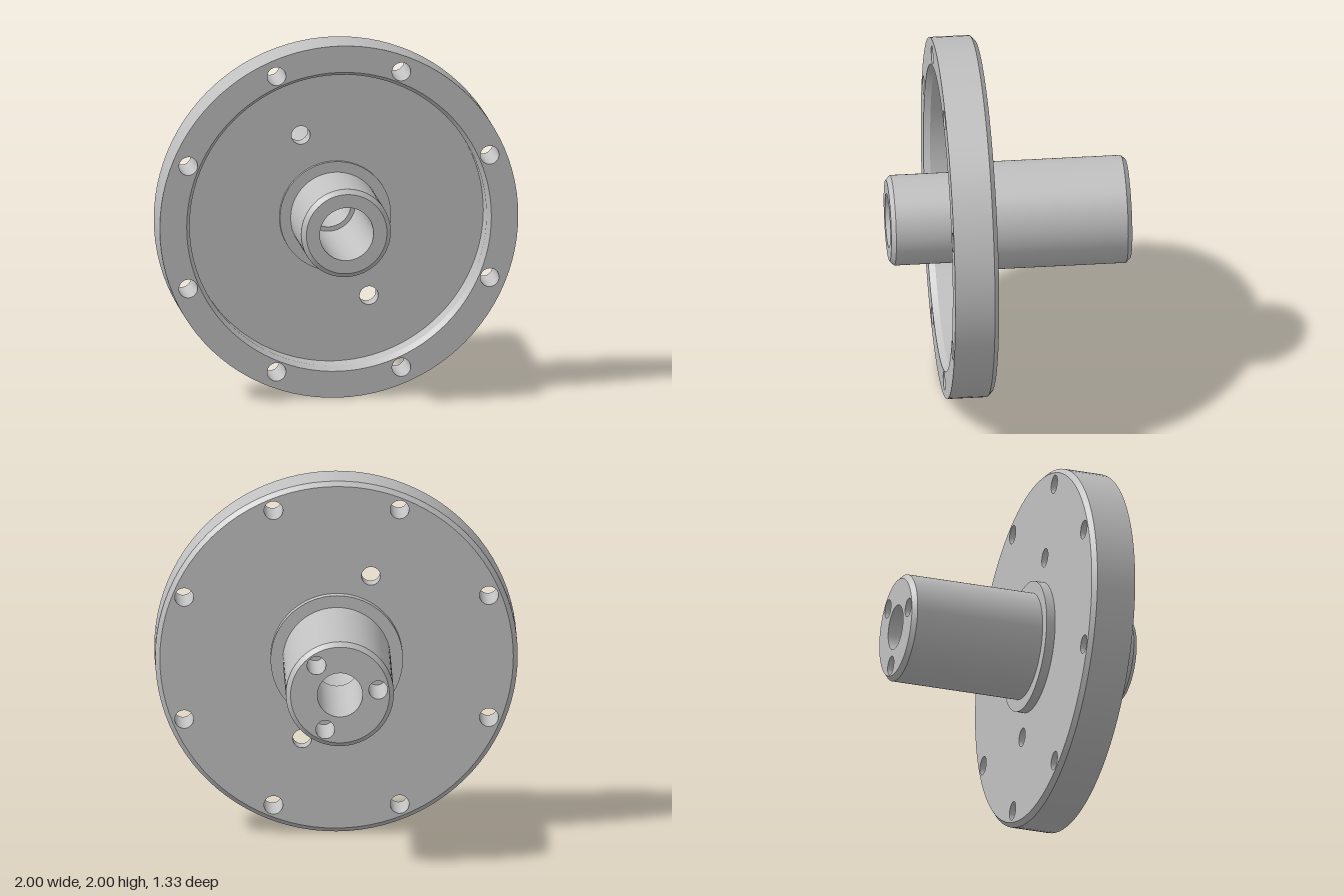
import * as THREE from 'three';
import { mergeGeometries } from 'three/addons/utils/BufferGeometryUtils.js';

const SEGMENTS = 96;

// Turn a surface to face the other way
function flip(geo) {
  geo.index.array.reverse();
  const n = geo.attributes.normal;
  for (let i = 0; i < n.array.length; i++) n.array[i] *= -1;
  return geo;
}

// Open round wall along z, from radius r0 at z0 (rear) to r1 at z1 (front)
function wall(r0, z0, r1, z1, x = 0, y = 0) {
  return new THREE.CylinderGeometry(r1, r0, z1 - z0, SEGMENTS, 1, true)
    .rotateX(Math.PI / 2)
    .translate(x, y, (z0 + z1) / 2);
}
const bore = (...args) => flip(wall(...args));

// Flat front-facing ring with holes [x, y, r]
function face(outer, inner, z, holes = []) {
  const shape = new THREE.Shape().absarc(0, 0, outer, 0, Math.PI * 2);
  const cuts = inner > 0 ? [[0, 0, inner], ...holes] : holes;
  for (const [x, y, r] of cuts) {
    shape.holes.push(new THREE.Path().absarc(x, y, r, 0, Math.PI * 2, true));
  }
  return new THREE.ShapeGeometry(shape, SEGMENTS / 2).translate(0, 0, z);
}
const rearFace = (...args) => flip(face(...args));

// Holes evenly spaced on a circle
function holeCircle(count, radius, startDegrees, holeRadius) {
  return Array.from({ length: count }, (_, i) => {
    const a = THREE.MathUtils.degToRad(startDegrees + (i * 360) / count);
    return [radius * Math.cos(a), radius * Math.sin(a), holeRadius];
  });
}

export function createModel() {
  const metal = new THREE.MeshStandardMaterial({ color: 0xc0c0c0 });
  metal.name = 'grey metal';

  const model = new THREE.Group();
  const body = new THREE.Group();
  body.name = 'flangedHub';
  body.position.y = 1;
  model.add(body);

  function part(name, geometries) {
    const mesh = new THREE.Mesh(mergeGeometries(geometries), metal);
    mesh.name = name;
    body.add(mesh);
  }

  // Stations along the axis
  const front = 0.385, floor = 0.235, back = 0.14, end = 0.665;

  const rimHoles = holeCircle(8, 0.91, 22.5, 0.052);
  const floorHoles = [[-0.19, 0.463, 0.052], [0.19, -0.463, 0.052]];
  const shaftHoles = holeCircle(3, 0.213, 52.5, 0.052);

  // Flange disc with chamfered rear edge
  part('flange', [
    face(1, 0.85, front, rimHoles),
    wall(1, back + 0.025, 1, front),
    wall(0.975, back, 1, back + 0.025),
    rearFace(0.975, 0.365, back, [...rimHoles, ...floorHoles]),
  ]);

  // Shallow front recess with a tapered lip
  part('recess', [
    bore(0.828, front - 0.035, 0.85, front),
    bore(0.828, floor, 0.828, front - 0.035),
    face(0.828, 0.31, floor, floorHoles),
  ]);

  // Through holes in the rim and the recess floor
  part('rimHoles', rimHoles.map(([x, y, r]) => bore(r, back, r, front, x, y)));
  part('floorHoles', floorHoles.map(([x, y, r]) => bore(r, back, r, floor, x, y)));

  // Front hub rising from a low boss
  part('frontHub', [
    wall(0.31, floor, 0.31, floor + 0.02),
    face(0.31, 0.25, floor + 0.02),
    wall(0.25, floor + 0.02, 0.25, end - 0.025),
    wall(0.25, end - 0.025, 0.225, end),
    face(0.225, 0.15, end),
  ]);

  // Rear collar and shaft
  part('rearCollar', [
    wall(0.365, back - 0.05, 0.365, back),
    rearFace(0.365, 0.298, back - 0.05),
  ]);
  part('rearShaft', [
    wall(0.298, -end + 0.025, 0.298, back - 0.05),
    wall(0.273, -end, 0.298, -end + 0.025),
    rearFace(0.273, 0.125, -end, shaftHoles),
  ]);

  // Blind holes in the shaft end
  part('shaftHoles', shaftHoles.flatMap(([x, y, r]) => [
    bore(r, -end, r, -end + 0.3, x, y),
    rearFace(r, 0, -end + 0.3).translate(x, y, 0),
  ]));

  // Stepped central bore
  part('centreBore', [
    bore(0.15, 0, 0.15, end),
    face(0.15, 0.125, 0),
    bore(0.125, -end, 0.125, 0),
  ]);

  return model;
}
